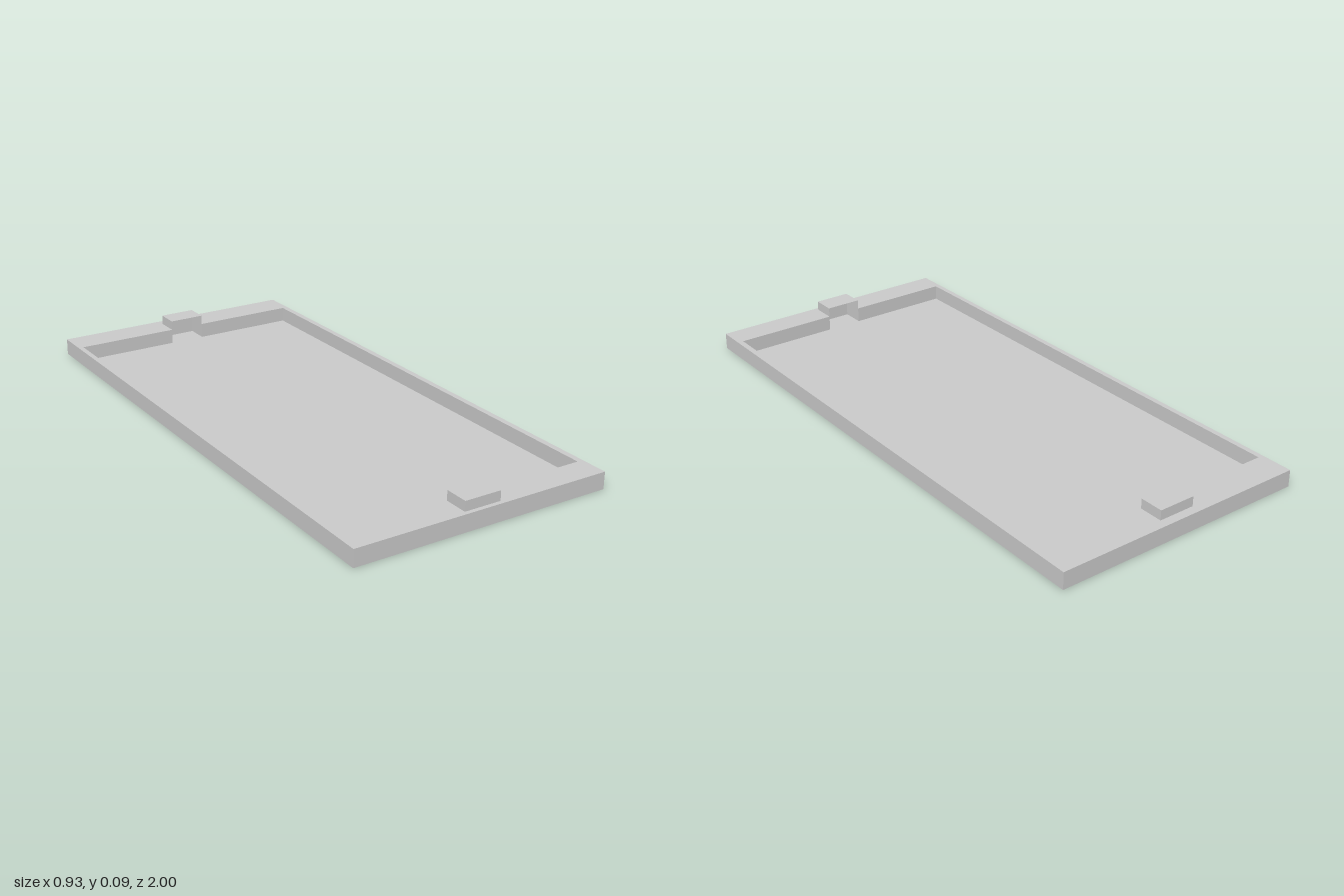
import * as THREE from 'three';

const HALF_X = 0.467, HALF_Z = 1, RIM_Y = 0.06, FLOOR_Y = 0.005, CAP_Y = 0.095;
const INNER = { x0: -0.448, x1: 0.446, z0: -0.884, z1: 0.9 };
const NOTCH = { x0: -0.068, x1: 0.065, back: -0.968, front: 0.985 };

const grey = new THREE.MeshStandardMaterial({ color: 0xcccccc, flatShading: true });
const greyThin = new THREE.MeshStandardMaterial({ color: 0xcccccc, flatShading: true, side: THREE.DoubleSide });

// Plan outlines are given as [x, z]; the extrusion is laid flat so it rises along y.
const toPoints = (list) => list.map(([x, z]) => new THREE.Vector2(x, -z));

function slab(name, shape, height) {
  const geo = new THREE.ExtrudeGeometry(shape, { depth: height, bevelEnabled: false });
  geo.rotateX(-Math.PI / 2);
  const mesh = new THREE.Mesh(geo, grey);
  mesh.name = name;
  return mesh;
}

// Hollow cap over a notch: top, outer wall and two sides, open toward the tray
function notchCap(name, zInner, zOuter) {
  const group = new THREE.Group();
  group.name = name;
  const w = NOTCH.x1 - NOTCH.x0, h = CAP_Y - RIM_Y, d = Math.abs(zOuter - zInner);
  const cx = (NOTCH.x0 + NOTCH.x1) / 2, cy = (CAP_Y + RIM_Y) / 2, cz = (zInner + zOuter) / 2;
  const panel = (part, pw, ph, pos, rx, ry) => {
    const mesh = new THREE.Mesh(new THREE.PlaneGeometry(pw, ph), greyThin);
    mesh.name = part;
    mesh.position.set(...pos);
    mesh.rotation.set(rx, ry, 0);
    group.add(mesh);
  };
  panel('capTop', w, d, [cx, CAP_Y, cz], -Math.PI / 2, 0);
  panel('capOuterWall', w, h, [cx, cy, zOuter], 0, zOuter > 0 ? 0 : Math.PI);
  panel('capLeftSide', d, h, [NOTCH.x1, cy, cz], 0, Math.PI / 2);
  panel('capRightSide', d, h, [NOTCH.x0, cy, cz], 0, -Math.PI / 2);
  return group;
}

export function createModel() {
  const model = new THREE.Group();
  model.name = 'tray';

  // Recess outline with a notch at each end
  const recess = toPoints([
    [INNER.x0, INNER.z0], [NOTCH.x0, INNER.z0], [NOTCH.x0, NOTCH.back],
    [NOTCH.x1, NOTCH.back], [NOTCH.x1, INNER.z0], [INNER.x1, INNER.z0],
    [INNER.x1, INNER.z1], [NOTCH.x1, INNER.z1], [NOTCH.x1, NOTCH.front],
    [NOTCH.x0, NOTCH.front], [NOTCH.x0, INNER.z1], [INNER.x0, INNER.z1],
  ]);

  // Rim
  const outline = new THREE.Shape(toPoints([
    [-HALF_X, HALF_Z], [HALF_X, HALF_Z], [HALF_X, -HALF_Z], [-HALF_X, -HALF_Z],
  ]));
  outline.holes.push(new THREE.Path(recess));
  model.add(slab('rim', outline, RIM_Y));

  // Thin floor filling the recess
  model.add(slab('floor', new THREE.Shape(recess), FLOOR_Y));

  // Raised caps at both ends
  model.add(notchCap('frontCap', INNER.z1, NOTCH.front));
  model.add(notchCap('backCap', INNER.z0, NOTCH.back));

  return model;
}
